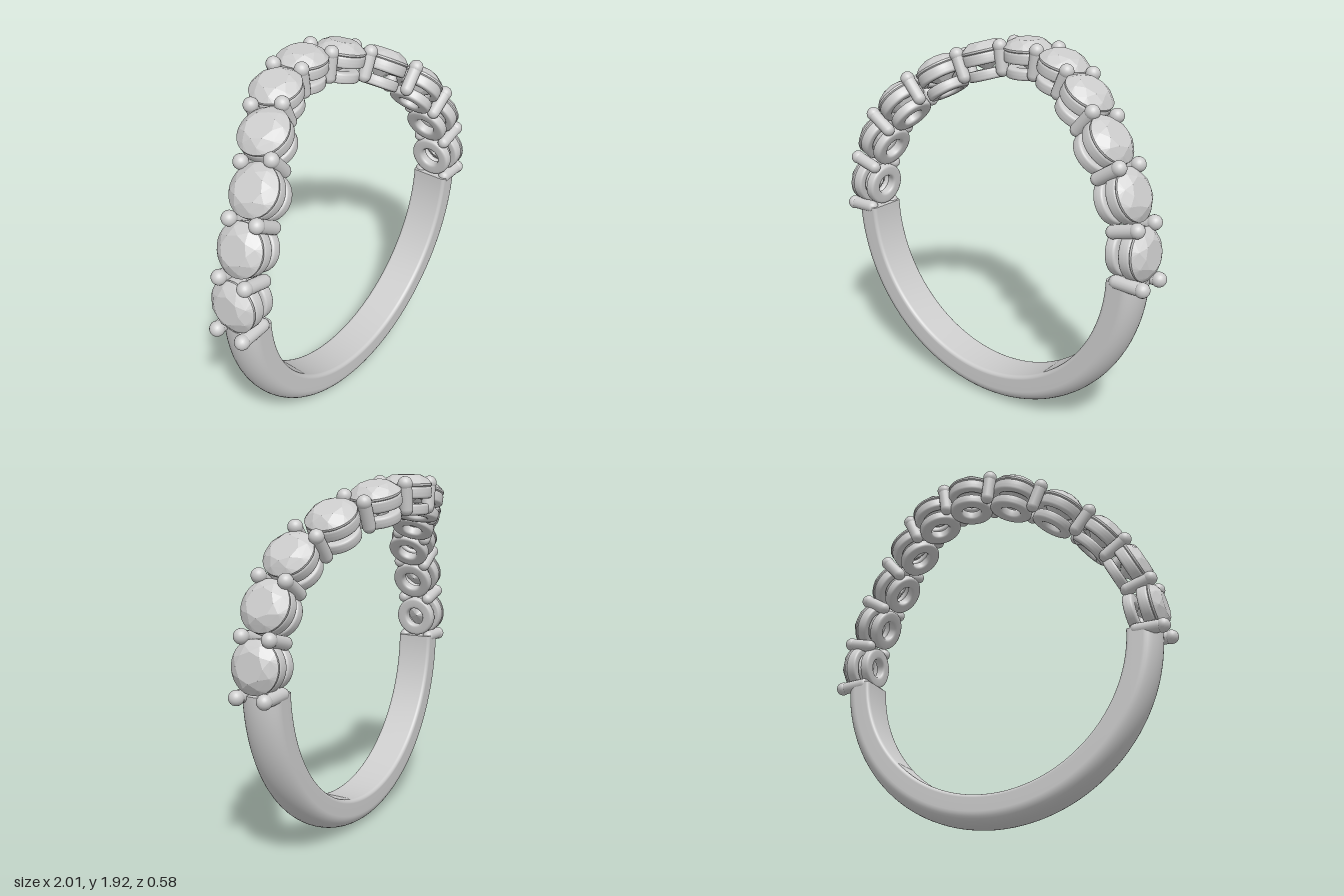
import * as THREE from 'three';
import { ConvexGeometry } from 'three/addons/geometries/ConvexGeometry.js';

const CENTRE_Y = 0.94;
const BAND_Z = 0.156;
const rad = THREE.MathUtils.degToRad;

// Half of the crest: stones with the angle from the top (degrees) and z
const STONES = [[0, -0.16], [16.2, -0.115], [31.6, 0], [48, 0.11], [64.8, 0.145], [82.4, 0.154]];
// Prong pairs, each following the stone of the same index: angle, z, tip distance
const PRONGS = [
  [8, -0.147, 0.948], [23.9, -0.068, 0.948], [40.5, 0.062, 0.95],
  [57, 0.132, 0.955], [74.3, 0.152, 0.955], [91.3, 0.157, 0.965],
];

// Brilliant cut: table, kite points, girdle and culet; flat facets
function gemGeometry() {
  const pts = [];
  const ring = (n, r, y, turn = 0) => {
    for (let i = 0; i < n; i++) {
      const a = (i / n) * Math.PI * 2 + turn;
      pts.push(new THREE.Vector3(r * Math.cos(a), y, r * Math.sin(a)));
    }
  };
  ring(8, 0.075, 0.05);
  ring(8, 0.108, 0.031, Math.PI / 8);
  ring(32, 0.132, 0.005);
  ring(32, 0.132, -0.005);
  ring(8, 0.07, -0.06, Math.PI / 8);
  pts.push(new THREE.Vector3(0, -0.115, 0));
  return new ConvexGeometry(pts);
}

// Smooth ring with a rounded rectangular section
function collarGeometry(inner, outer, height) {
  const pts = [];
  const cx = (inner + outer) / 2, hw = (outer - inner) / 2, hh = height / 2;
  for (let i = 0; i <= 24; i++) {
    const a = (i / 24) * Math.PI * 2;
    const c = Math.cos(a), s = Math.sin(a);
    pts.push(new THREE.Vector2(
      cx + hw * Math.sign(c) * Math.pow(Math.abs(c), 0.5),
      hh * Math.sign(s) * Math.pow(Math.abs(s), 0.5)));
  }
  return new THREE.LatheGeometry(pts, 40);
}

// Shank: D-shaped section (radius, z) swept round the lower half
function shankGeometry() {
  const section = [];
  const arc = (cr, cz, ar, az, from, to, n) => {
    for (let i = 0; i <= n; i++) {
      const a = rad(from + ((to - from) * i) / n);
      section.push([cr + ar * Math.cos(a), cz + az * Math.sin(a)]);
    }
  };
  arc(0.865, 0, 0.075, 0.105, -90, 90, 18);
  arc(0.795, 0.085, 0.02, 0.02, 90, 180, 5);
  arc(0.795, -0.085, 0.02, 0.02, 180, 270, 5);
  const steps = 96, m = section.length;
  const pos = [], idx = [];
  for (let i = 0; i <= steps; i++) {
    const a = rad(91 + (178 * i) / steps);
    for (const [r, z] of section) pos.push(r * Math.sin(a), r * Math.cos(a), z);
  }
  for (let i = 0; i < steps; i++) {
    for (let j = 0; j < m; j++) {
      const a = i * m + j, b = i * m + ((j + 1) % m);
      idx.push(a, b, a + m, b, b + m, a + m);
    }
  }
  // End caps on their own vertices
  for (const end of [0, steps]) {
    const base = pos.length / 3;
    for (let j = 0; j < m; j++) pos.push(...pos.slice((end * m + j) * 3, (end * m + j) * 3 + 3));
    for (let j = 1; j < m - 1; j++) {
      if (end === 0) idx.push(base, base + j + 1, base + j);
      else idx.push(base, base + j, base + j + 1);
    }
  }
  const g = new THREE.BufferGeometry();
  g.setAttribute('position', new THREE.Float32BufferAttribute(pos, 3));
  g.setIndex(idx);
  g.computeVertexNormals();
  return g;
}

export function createModel() {
  const model = new THREE.Group();
  model.name = 'ring';
  const metal = new THREE.MeshStandardMaterial({ color: 0xcccccc });
  metal.name = 'silver grey';

  const gem = gemGeometry();
  const upperCollar = collarGeometry(0.085, 0.132, 0.062);
  const lowerCollar = collarGeometry(0.053, 0.118, 0.058);
  const shaft = new THREE.CapsuleGeometry(0.034, 0.12, 6, 16);
  const tip = new THREE.SphereGeometry(0.038, 20, 14);

  const add = (parent, name, geometry, x, y, z) => {
    const mesh = new THREE.Mesh(geometry, metal);
    mesh.name = name;
    mesh.position.set(x, y, z);
    parent.add(mesh);
  };
  // Local frame whose y axis points outward from the finger axis
  const station = (name, degrees, z) => {
    const g = new THREE.Group();
    g.name = name;
    g.position.set(0, CENTRE_Y, z);
    g.rotation.z = -rad(degrees);
    model.add(g);
    return g;
  };

  add(model, 'shank', shankGeometry(), 0, CENTRE_Y, BAND_Z);

  for (const side of [1, -1]) {
    // Stones in their two-collar settings; the top one is made once
    STONES.forEach(([deg, z], i) => {
      if (i === 0 && side < 0) return;
      const g = station('stoneSetting', side * deg, z);
      add(g, 'stone', gem, 0, 0.932, 0);
      add(g, 'upperCollar', upperCollar, 0, 0.893, 0);
      add(g, 'lowerCollar', lowerCollar, 0, 0.808, 0);
    });
    // Prong pairs set square to the curve of the crest
    PRONGS.forEach(([deg, z, reach], i) => {
      const g = station('prongPair', side * deg, z);
      const next = STONES[i + 1] || [100, 0.156];
      const slope = Math.atan2(next[1] - STONES[i][1], 0.93 * rad(next[0] - STONES[i][0]));
      for (const end of [1, -1]) {
        const x = -side * end * 0.078 * Math.sin(slope);
        const pz = end * 0.078 * Math.cos(slope);
        add(g, 'prong', shaft, x, 0.882, pz);
        add(g, 'prongTip', tip, x, reach, pz);
      }
    });
  }
  return model;
}
